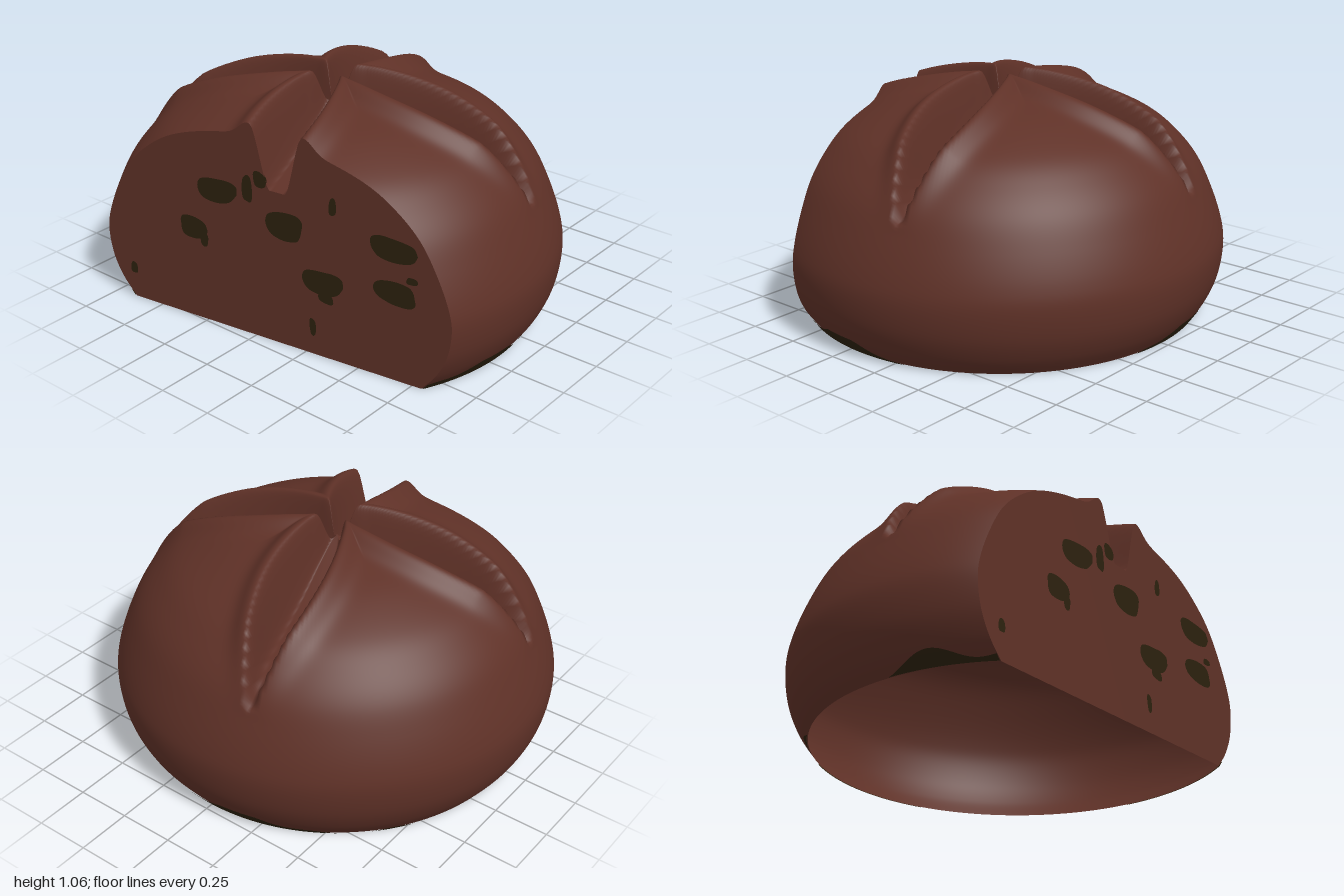
import * as THREE from 'three';

const CZ = 0.18; // centre of the round loaf
const CUT = { n: new THREE.Vector3(0.141, 0, 0.99).normalize(), p: new THREE.Vector3(0, 0, 0.7) };
const cutZ = (x) => CUT.p.z - (x * CUT.n.x) / CUT.n.z;
const side = (p) => (p.x - CUT.p.x) * CUT.n.x + (p.z - CUT.p.z) * CUT.n.z;

const profile = new THREE.SplineCurve([
  [0, 1.02], [0.2, 1.005], [0.4, 0.965], [0.55, 0.915], [0.7, 0.84], [0.8, 0.755], [0.88, 0.655],
  [0.94, 0.53], [0.985, 0.4], [1, 0.3], [0.985, 0.18], [0.945, 0.08], [0.89, 0],
].map(([x, y]) => new THREE.Vector2(x, y)));

// Height of the crossed scoring: negative in the grooves, positive on the raised lips
function scoring(x, z) {
  let groove = 0, lip = 0, inside = 0;
  for (let k = 0; k < 4; k++) {
    const a = Math.atan2(-0.22, 0.9) + (k * Math.PI) / 2;
    const s = (x * Math.cos(a) + z * Math.sin(a)) / 0.92;
    const b = Math.abs(z * Math.cos(a) - x * Math.sin(a));
    if (s < 0 || s >= 1) continue;
    const bell = Math.pow(Math.sin(Math.PI * s), 0.8);
    const w = 0.04 * (1 - s) + 0.1 * bell + 0.001;
    const fill = 1 - THREE.MathUtils.smoothstep(b, 0.35 * w, w);
    groove = Math.max(groove, fill * (0.08 * (1 - s) + 0.19 * bell));
    inside = Math.max(inside, fill);
    const d = (b - w * 1.12) / (b > w * 1.12 ? 0.06 : 0.04);
    lip = Math.max(lip, 0.05 * Math.min(1, (1 - s) * 4) * Math.exp(-d * d));
  }
  return lip * (1 - inside) - groove;
}

// Grid of rings around the loaf; point(i, angle) gives a position
function ringGrid(rows, cols, point) {
  const pos = [], idx = [];
  for (let i = 0; i <= rows; i++) {
    for (let j = 0; j < cols; j++) {
      pos.push(...point(i, (j / cols) * Math.PI * 2));
      if (i === rows) continue;
      const a = i * cols + j, c = i * cols + ((j + 1) % cols);
      idx.push(a, c, a + cols, c, c + cols, a + cols);
    }
  }
  const g = new THREE.BufferGeometry();
  g.setAttribute('position', new THREE.Float32BufferAttribute(pos, 3));
  g.setIndex(idx);
  g.computeVertexNormals();
  return g;
}

// Keep what lies behind the cut; also return the segments lying on the cut
function slice(geo) {
  const P = geo.attributes.position, N = geo.attributes.normal, index = geo.index.array;
  const pos = [], nor = [], segments = [];
  for (let t = 0; t < index.length; t += 3) {
    const tri = [0, 1, 2].map((k) => {
      const p = new THREE.Vector3().fromBufferAttribute(P, index[t + k]);
      return { p, n: new THREE.Vector3().fromBufferAttribute(N, index[t + k]), d: side(p) };
    });
    const poly = [], edge = [];
    tri.forEach((a, k) => {
      const b = tri[(k + 1) % 3];
      if (a.d <= 0) poly.push(a);
      if ((a.d <= 0) !== (b.d <= 0)) {
        const f = a.d / (a.d - b.d);
        const v = { p: a.p.clone().lerp(b.p, f), n: a.n.clone().lerp(b.n, f).normalize() };
        poly.push(v);
        edge.push(v.p);
      }
    });
    if (edge.length === 2) segments.push(edge);
    for (let k = 1; k + 1 < poly.length; k++) {
      for (const v of [poly[0], poly[k], poly[k + 1]]) {
        pos.push(v.p.x, v.p.y, v.p.z);
        nor.push(v.n.x, v.n.y, v.n.z);
      }
    }
  }
  const g = new THREE.BufferGeometry();
  g.setAttribute('position', new THREE.Float32BufferAttribute(pos, 3));
  g.setAttribute('normal', new THREE.Float32BufferAttribute(nor, 3));
  return { g, segments };
}

// Flat face filling the cut, fanned from the middle of its bottom edge
function cutFaceGeometry(segments) {
  const c = new THREE.Vector3(0.115, 0, cutZ(0.115));
  const pos = [], nor = [];
  for (const [a, b] of segments) {
    const facing = a.clone().sub(c).cross(b.clone().sub(c)).dot(CUT.n) > 0;
    for (const v of facing ? [c, a, b] : [c, b, a]) {
      pos.push(v.x, v.y, v.z);
      nor.push(CUT.n.x, CUT.n.y, CUT.n.z);
    }
  }
  const g = new THREE.BufferGeometry();
  g.setAttribute('position', new THREE.Float32BufferAttribute(pos, 3));
  g.setAttribute('normal', new THREE.Float32BufferAttribute(nor, 3));
  return g;
}

// Irregular rounded spot
function spotGeometry(w, h, seed) {
  const pts = [];
  for (let k = 0; k < 12; k++) {
    const a = (k / 12) * Math.PI * 2;
    const q = 1 + 0.08 * Math.sin(2 * a + seed) + 0.06 * Math.sin(3 * a + seed * 2.3);
    const cx = Math.cos(a), sy = Math.sin(a);
    pts.push(new THREE.Vector2(
      w * q * Math.sign(cx) * Math.pow(Math.abs(cx), 0.8),
      h * q * Math.sign(sy) * Math.pow(Math.abs(sy), 0.8)));
  }
  const curve = new THREE.SplineCurve([...pts, pts[0]]);
  return new THREE.ShapeGeometry(new THREE.Shape(curve.getPoints(48)));
}

export function createModel() {
  const model = new THREE.Group();
  const crust = new THREE.MeshStandardMaterial({ color: 0x5f3127, side: THREE.DoubleSide });
  crust.name = 'brown crust';
  const dark = new THREE.MeshStandardMaterial({ color: 0x2c210e, side: THREE.DoubleSide });
  dark.name = 'dark olive';
  const add = (name, geo, mat) => {
    const m = new THREE.Mesh(geo, mat);
    m.name = name;
    model.add(m);
    return m;
  };

  // Scored dome, open underneath
  const rows = 130;
  const prof = profile.getSpacedPoints(rows);
  const dome = ringGrid(rows, 300, (i, a) => {
    const p = prof[i];
    const t = profile.getTangentAt(i / rows);
    const x = p.x * Math.cos(a), z = p.x * Math.sin(a);
    const d = p.y > 0.42 ? scoring(x, z) : 0;
    const dir = new THREE.Vector2(-t.y * 0.5, t.x * 0.5 + 0.5).normalize();
    const r = Math.max(0, p.x + dir.x * d);
    return [r * Math.cos(a), p.y + dir.y * d, r * Math.sin(a) + CZ];
  });
  const loaf = slice(dome);
  add('crust', loaf.g, crust);
  add('cutFace', cutFaceGeometry(loaf.segments), crust);

  // Dark uneven patches along the bottom rim
  const rim = ringGrid(6, 300, (i, a) => {
    const wave = Math.sin(3 * a + 0.9) + 0.6 * Math.sin(7 * a + 1) + 0.3 * Math.sin(17 * a);
    const h = THREE.MathUtils.clamp(0.05 * wave, 0, 0.07) * (i / 6);
    const r = 0.89 + 0.72 * h - 0.6 * h * h + 0.005;
    return [r * Math.cos(a), h, r * Math.sin(a) + CZ];
  });
  add('rimPatches', slice(rim).g, dark);

  // Dark pieces showing on both sides of the cut: x, y, half width, half height
  const spots = [
    [-0.175, 0.64, 0.1, 0.055], [-0.022, 0.685, 0.024, 0.065], [0.04, 0.74, 0.032, 0.035],
    [0.155, 0.56, 0.095, 0.06], [0.385, 0.705, 0.017, 0.04], [0.66, 0.59, 0.1, 0.055],
    [0.67, 0.4, 0.1, 0.05], [0.745, 0.475, 0.027, 0.015], [0.335, 0.35, 0.092, 0.058],
    [0.35, 0.285, 0.035, 0.028], [-0.305, 0.435, 0.075, 0.048], [-0.25, 0.388, 0.02, 0.03],
    [-0.645, 0.145, 0.018, 0.03], [0.285, 0.13, 0.016, 0.04],
  ];
  spots.forEach(([x, y, w, h], k) => {
    const geo = spotGeometry(w, h, k * 1.7);
    for (const off of [0.003, -0.003]) {
      const m = add('cutSpot', geo, dark);
      m.position.set(x, y, cutZ(x)).addScaledVector(CUT.n, off);
      m.rotation.y = Math.atan2(CUT.n.x, CUT.n.z);
    }
  });
  return model;
}
